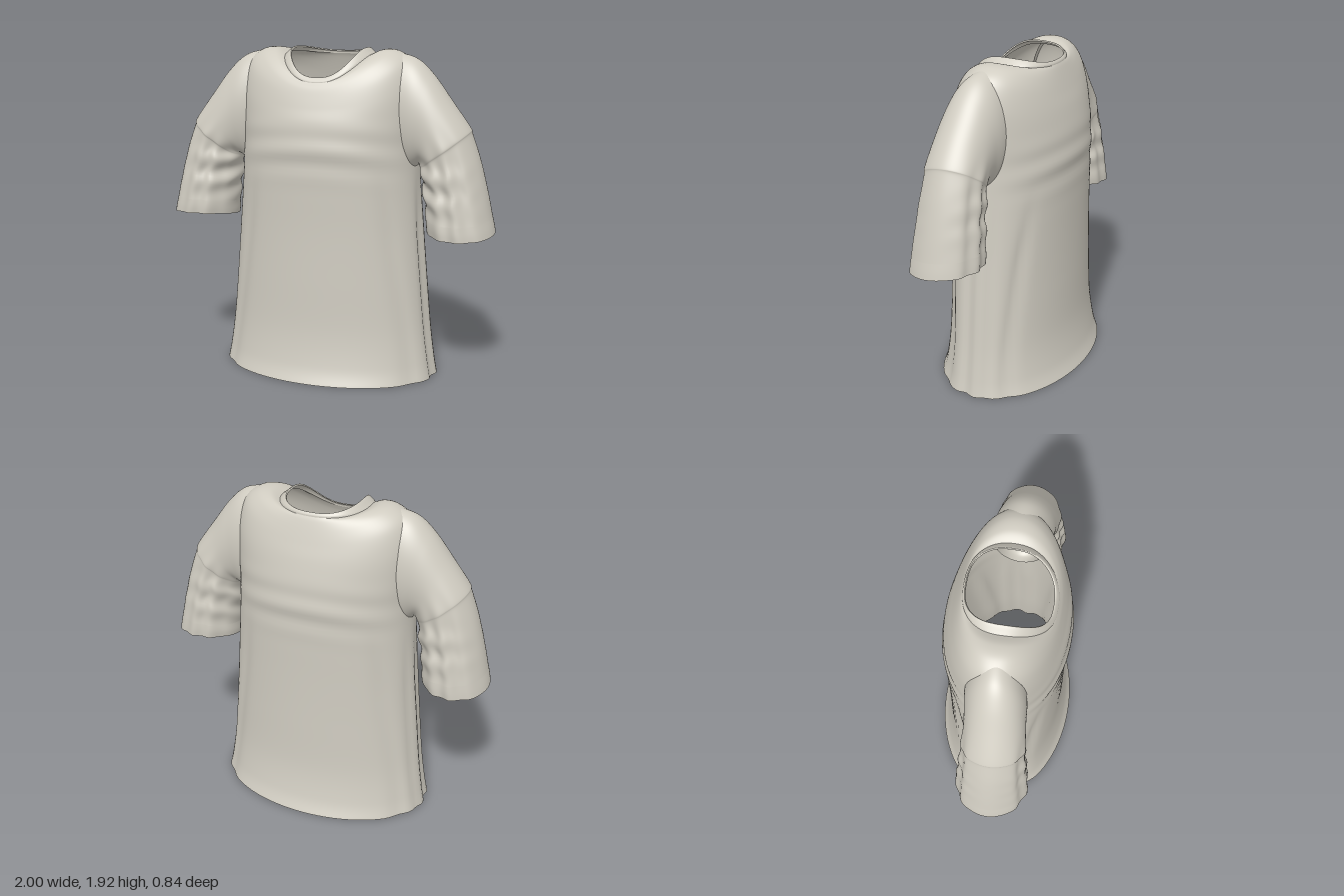
import * as THREE from 'three';

const SEG = 96;

// Smooth interpolation through a list of number rows
function rowAt(rows, t) {
  const i = Math.min(Math.floor(t), rows.length - 2), f = t - i;
  const at = k => rows[Math.max(0, Math.min(rows.length - 1, k))];
  const [a, b, c, d] = [at(i - 1), at(i), at(i + 1), at(i + 2)];
  return b.map((p, k) => p + 0.5 * f * (c[k] - a[k]
    + f * (2 * a[k] - 5 * p + 4 * c[k] - d[k] + f * (3 * (p - c[k]) + d[k] - a[k]))));
}

// Closed rings joined into a smooth open tube
function loft(rows, steps, flip, pointAt) {
  const pos = [], idx = [], n = (rows.length - 1) * steps;
  for (let i = 0; i <= n; i++) {
    const row = rowAt(rows, i / steps);
    for (let j = 0; j < SEG; j++) pos.push(...pointAt(row, j / SEG * Math.PI * 2));
  }
  for (let i = 0; i < n; i++) for (let j = 0; j < SEG; j++) {
    const k = (j + 1) % SEG, a = i * SEG + j, b = a + SEG, c = i * SEG + k, d = c + SEG;
    if (flip) idx.push(a, c, b, c, d, b);
    else idx.push(a, b, c, c, b, d);
  }
  const g = new THREE.BufferGeometry();
  g.setAttribute('position', new THREE.Float32BufferAttribute(pos, 3));
  g.setIndex(idx);
  g.computeVertexNormals();
  return g;
}

const bump = (v, width) => Math.exp(-(v * v) / (width * width));
const power = (v, e) => Math.sign(v) * Math.pow(Math.abs(v), e);

// Row: side y, front y, back y, half width, front z, back z, roundness exponent
function bodyPoint([ys, yf, yb, rx, zf, zb, e], a) {
  const c = Math.cos(a), s = Math.sin(a);
  const y = ys * c * c + (s > 0 ? yf : yb) * s * s;
  let x = rx * power(c, e), z = (s > 0 ? zf : zb) * power(s, e);
  // Side pleats and slanting drapes, fading out towards the chest
  const drape = THREE.MathUtils.smoothstep(1.3 - y, 0, 0.5);
  const pleat = bump(z - 0.035, 0.035) + 0.5 * bump(z + 0.09, 0.03);
  x -= Math.sign(x) * 0.022 * drape * pleat;
  const line = 0.62 - 0.16 * y;
  z -= Math.sign(s) * 0.018 * drape * bump(Math.abs(x) - line + 0.05, 0.035);
  // Soft chest folds
  const chest = bump(y - 1.35, 0.14) * Math.abs(s);
  z += Math.sign(s) * 0.006 * chest * Math.sin(y * 38 + 9 * x * x);
  return [x, y, z];
}

// Row: outer x, outer y, inner x, inner y, front z, back z
function sleevePoint([ox, oy, ix, iy, zf, zb], a, side) {
  const c = Math.cos(a), s = Math.sin(a);
  const mx = (ox + ix) / 2, my = (oy + iy) / 2;
  let x = mx + c * (ox - mx), y = my + c * (oy - my);
  let z = (zf + zb) / 2 + s * (zf - zb) / 2;
  // Bunched cloth on the inner half below the armpit
  const inner = (1 - c) / 2;
  const bunch = inner * bump(y - 1.18, 0.16) * THREE.MathUtils.smoothstep(x, 0.53, 0.6);
  x += 0.012 * bunch * Math.sin(y * 48 + s * 3);
  z += 0.012 * bunch * Math.sin(y * 40 + 2) * s;
  // Long folds running down the lower sleeve and a tilted opening
  const low = THREE.MathUtils.smoothstep(1.5 - my, 0, 0.25);
  z += low * 0.008 * Math.sin(c * 11) * Math.sign(s) * Math.abs(s);
  y += low * -0.025 * s * side;
  return [x * side, y, z];
}

export function createModel() {
  const model = new THREE.Group();
  model.name = 'shirt';
  const cloth = new THREE.MeshStandardMaterial({ color: 0xd0ccc1, side: THREE.DoubleSide });
  cloth.name = 'warm grey cloth';
  const add = (name, geometry) => {
    const mesh = new THREE.Mesh(geometry, cloth);
    mesh.name = name;
    model.add(mesh);
  };

  // Torso from the hem up over the shoulders
  const neckSeam = [1.892, 1.74, 1.872, 0.26, 0.272, 0.232, 0.86];
  const torso = [
    [0, 0, 0, 0.665, 0.42, 0.42, 1],
    [0.1, 0.1, 0.1, 0.648, 0.385, 0.385, 1],
    [0.3, 0.3, 0.3, 0.622, 0.358, 0.355, 1],
    [0.6, 0.6, 0.6, 0.594, 0.352, 0.348, 1],
    [0.9, 0.9, 0.9, 0.567, 0.35, 0.347, 0.98],
    [1.2, 1.2, 1.2, 0.54, 0.358, 0.352, 0.96],
    [1.4, 1.4, 1.4, 0.53, 0.363, 0.355, 0.96],
    [1.55, 1.52, 1.53, 0.535, 0.348, 0.34, 0.96],
    [1.72, 1.6, 1.64, 0.53, 0.325, 0.315, 0.96],
    [1.85, 1.66, 1.73, 0.49, 0.306, 0.286, 0.95],
    [1.91, 1.7, 1.8, 0.41, 0.292, 0.262, 0.93],
    [1.918, 1.725, 1.85, 0.325, 0.28, 0.243, 0.9],
    neckSeam,
  ];
  add('torso', loft(torso, 8, false, bodyPoint));

  // Neckband, standing slightly proud and turned in at the rim
  const band = [
    neckSeam,
    [1.904, 1.748, 1.882, 0.245, 0.27, 0.23, 0.82],
    [1.925, 1.768, 1.893, 0.218, 0.255, 0.22, 0.78],
    [1.917, 1.765, 1.886, 0.211, 0.246, 0.214, 0.78],
  ];
  add('neckband', loft(band, 4, false, bodyPoint));

  // Sleeves, mirrored
  const sleeve = [
    [0.4, 1.905, 0.46, 1.24, 0.17, -0.16],
    [0.52, 1.872, 0.5, 1.24, 0.185, -0.155],
    [0.62, 1.785, 0.53, 1.26, 0.19, -0.145],
    [0.73, 1.64, 0.55, 1.28, 0.198, -0.14],
    [0.835, 1.495, 0.56, 1.27, 0.205, -0.145],
    [0.85, 1.455, 0.565, 1.25, 0.2, -0.142],
    [0.9, 1.31, 0.572, 1.19, 0.21, -0.15],
    [0.945, 1.14, 0.59, 1.08, 0.222, -0.16],
    [0.978, 0.99, 0.6, 0.98, 0.235, -0.17],
  ];
  const cuff = [
    sleeve[sleeve.length - 1],
    [0.99, 0.94, 0.602, 0.935, 0.238, -0.172],
    [0.998, 0.9, 0.607, 0.9, 0.238, -0.172],
  ];
  for (const side of [1, -1]) {
    const label = side > 0 ? 'left' : 'right';
    const point = (row, a) => sleevePoint(row, a, side);
    add(label + 'Sleeve', loft(sleeve, 8, side > 0, point));
    add(label + 'SleeveHem', loft(cuff, 4, side > 0, point));
  }
  return model;
}
